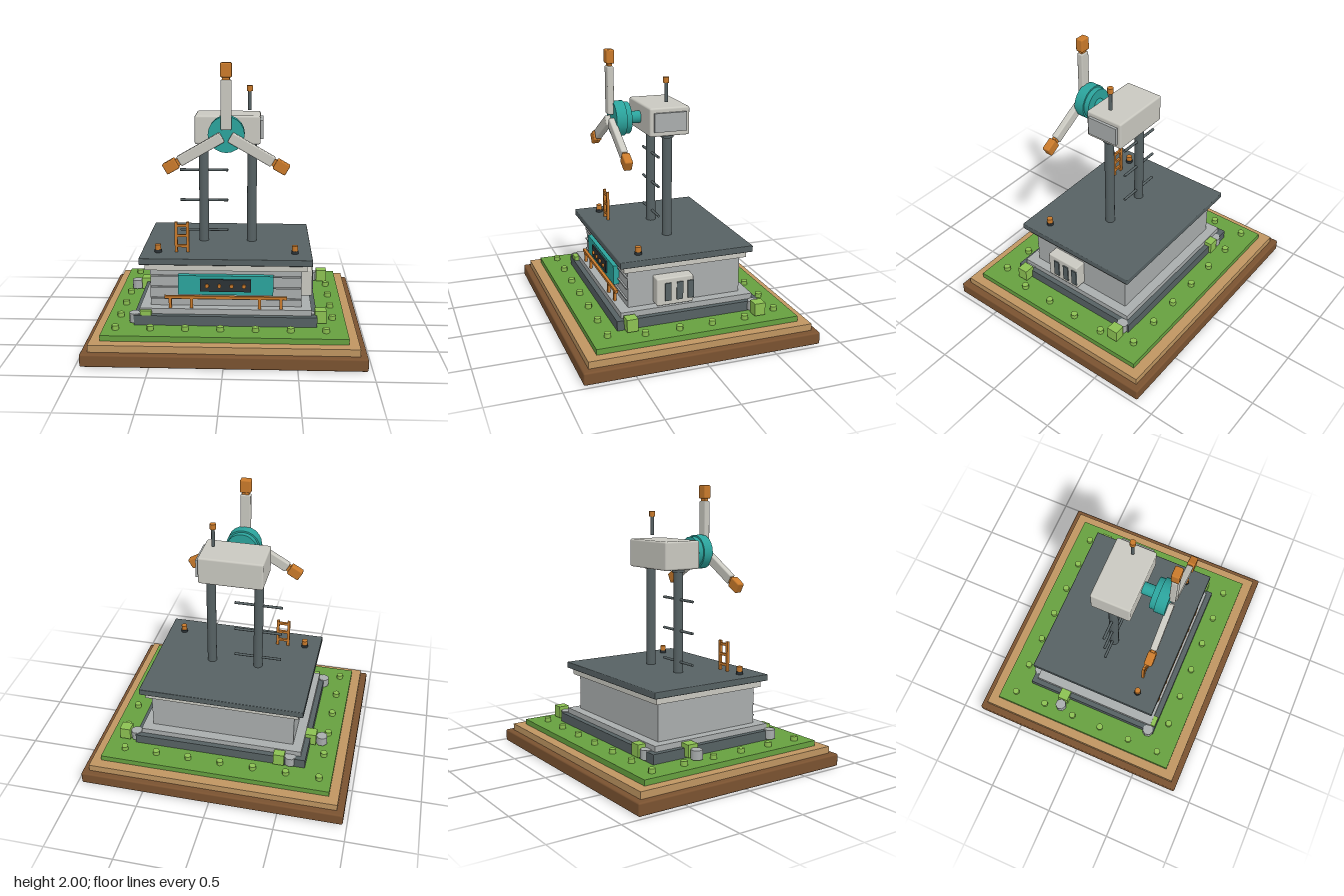
import * as THREE from 'three';
import { RoundedBoxGeometry } from 'three/addons/geometries/RoundedBoxGeometry.js';

const mat = (name, color) => new THREE.MeshStandardMaterial({ name, color });

export function createModel() {
  const soil = mat('soil brown', 0x7a5230);
  const sand = mat('sand tan', 0xbf9561);
  const grass = mat('grass green', 0x66a03f);
  const leaf = mat('leaf green', 0x8cc152);
  const slate = mat('slate', 0x566163);
  const stone = mat('stone grey', 0xa9adad);
  const cream = mat('cream', 0xc9c8c0);
  const teal = mat('teal', 0x2ba39c);
  const orange = mat('orange', 0xc97a2b);
  const black = mat('panel black', 0x2b3236);

  const model = new THREE.Group();
  model.name = 'turbineStation';

  const add = (name, geo, material, x, y, z, parent = model) => {
    const m = new THREE.Mesh(geo, material);
    m.name = name;
    m.position.set(x, y, z);
    parent.add(m);
    return m;
  };
  // Box given by its size and centre; r > 0 rounds the edges
  const box = (name, material, w, h, d, x, y, z, r = 0, parent = model) =>
    add(name, r ? new RoundedBoxGeometry(w, h, d, 2, r) : new THREE.BoxGeometry(w, h, d), material, x, y, z, parent);
  // Upright cylinder from y0 to y1
  const post = (name, material, r, y0, y1, x, z, sides = 12) =>
    add(name, new THREE.CylinderGeometry(r, r, y1 - y0, sides), material, x, (y0 + y1) / 2, z);
  // Cylinder along z from z0 to z1
  const disc = (name, material, r, z0, z1, x, y, sides = 20) => {
    const m = add(name, new THREE.CylinderGeometry(r, r, z1 - z0, sides), material, x, y, (z0 + z1) / 2);
    m.rotation.x = Math.PI / 2;
    return m;
  };

  // Stacked layers: name, material, half width, half depth, bottom, top, edge radius
  [
    ['soilBase', soil, 0.97, 0.855, 0, 0.09, 0.012],
    ['sandLayer', sand, 0.92, 0.81, 0.09, 0.14, 0],
    ['lawn', grass, 0.85, 0.735, 0.14, 0.18, 0],
    ['foundation', slate, 0.643, 0.53, 0.18, 0.25, 0],
    ['plinth', stone, 0.605, 0.49, 0.25, 0.29, 0],
    ['buildingWalls', stone, 0.535, 0.418, 0.29, 0.56, 0],
    ['cornice', cream, 0.57, 0.455, 0.56, 0.61, 0],
    ['roof', slate, 0.607, 0.49, 0.608, 0.655, 0.006],
  ].forEach(([name, m, hw, hd, y0, y1, r]) =>
    box(name, m, hw * 2, y1 - y0, hd * 2, 0, (y0 + y1) / 2, 0, r));

  // Siding strips on the front wall
  for (const y of [0.345, 0.428, 0.51]) box('sidingStrip', stone, 1.06, 0.01, 0.016, 0, y, 0.422);

  // Control sign with lamps
  box('signPanel', teal, 0.67, 0.14, 0.045, 0, 0.455, 0.4375);
  box('signScreen', black, 0.36, 0.09, 0.012, 0, 0.457, 0.465);
  for (const x of [-0.13, -0.043, 0.043, 0.13]) disc('signLamp', orange, 0.014, 0.465, 0.485, x, 0.456, 10);

  // Front railing
  box('railing', orange, 0.86, 0.02, 0.022, 0, 0.37, 0.468);
  for (const x of [-0.39, -0.24, 0.24, 0.39]) box('railingPost', orange, 0.02, 0.07, 0.02, x, 0.325, 0.468);

  // Vent unit on the left wall
  box('ventUnit', cream, 0.1, 0.2, 0.27, 0.57, 0.405, 0.1, 0.01);
  for (const z of [0.155, 0.068, -0.012]) box('ventSlot', slate, 0.012, 0.13, 0.045, 0.623, 0.405, z);

  // Roof lamps
  for (const x of [-0.487, 0.487]) {
    post('roofLampBase', black, 0.026, 0.65, 0.676, x, 0.325);
    post('roofLamp', orange, 0.022, 0.676, 0.712, x, 0.325);
  }

  // Roof ladder
  for (const x of [-0.358, -0.275]) box('ladderStile', orange, 0.02, 0.225, 0.02, x, 0.7625, 0.315);
  for (const y of [0.7, 0.775, 0.85]) box('ladderRung', orange, 0.09, 0.018, 0.018, -0.316, y, 0.315);

  // Masts and climbing bars
  for (const x of [-0.18, 0.175]) {
    post('mast', slate, 0.035, 0.65, 1.41, x, 0, 16);
    post('mastCollar', slate, 0.045, 1.385, 1.41, x, 0, 16);
  }
  for (const y of [0.735, 0.963, 1.19]) {
    const bar = add('climbingBar', new THREE.CylinderGeometry(0.01, 0.01, 0.355, 8), slate, -0.178, y, 0);
    bar.rotation.z = Math.PI / 2;
  }

  // Nacelle, side hatch and aerial
  box('nacelle', cream, 0.47, 0.205, 0.296, 0, 1.507, 0, 0.014);
  box('nacelleHatch', stone, 0.03, 0.135, 0.24, 0.24, 1.508, 0);
  post('aerial', slate, 0.013, 1.635, 1.775, 0.155, 0, 8);
  post('aerialTip', orange, 0.022, 1.77, 1.81, 0.155, 0, 10);

  // Rotor hub
  disc('rotorShaft', teal, 0.044, 0.14, 0.24, 0, 1.507);
  disc('hubBack', teal, 0.115, 0.235, 0.28, 0, 1.507);
  disc('hub', teal, 0.127, 0.275, 0.352, 0, 1.507);

  // Three blades with tips
  for (let i = 0; i < 3; i++) {
    const blade = new THREE.Group();
    blade.name = 'blade';
    blade.position.set(0, 1.51, 0.367);
    blade.rotation.z = (i * Math.PI * 2) / 3;
    box('bladeBody', cream, 0.075, 0.342, 0.047, 0, 0.204, 0, 0.01, blade);
    box('bladeNeck', orange, 0.05, 0.04, 0.03, 0, 0.385, 0, 0, blade);
    box('bladeTip', orange, 0.08, 0.098, 0.058, 0, 0.441, 0, 0.01, blade);
    model.add(blade);
  }

  // Grass tufts around the lawn
  const tuft = (x, z) => post('tuft', leaf, 0.025, 0.175, 0.212, x, z, 8);
  for (let i = 0; i < 7; i++) for (const z of [-0.62, 0.615]) tuft(-0.76 + i * 0.2433, z);
  for (const z of [-0.365, -0.12, 0.12, 0.367]) for (const x of [-0.76, 0.76]) tuft(x, z);

  // Rocks, each with a cubic bush beside it
  const rockMat = stone;
  for (const [x, z] of [[-0.725, -0.235], [-0.53, -0.51], [0.65, -0.48], [-0.64, 0.485], [0.59, 0.44]]) {
    post('rock', rockMat, 0.042, 0.19, 0.257, x, z, 7);
    box('bush', leaf, 0.08, 0.09, 0.08, x + 0.08, 0.236, z);
  }
  return model;
}
